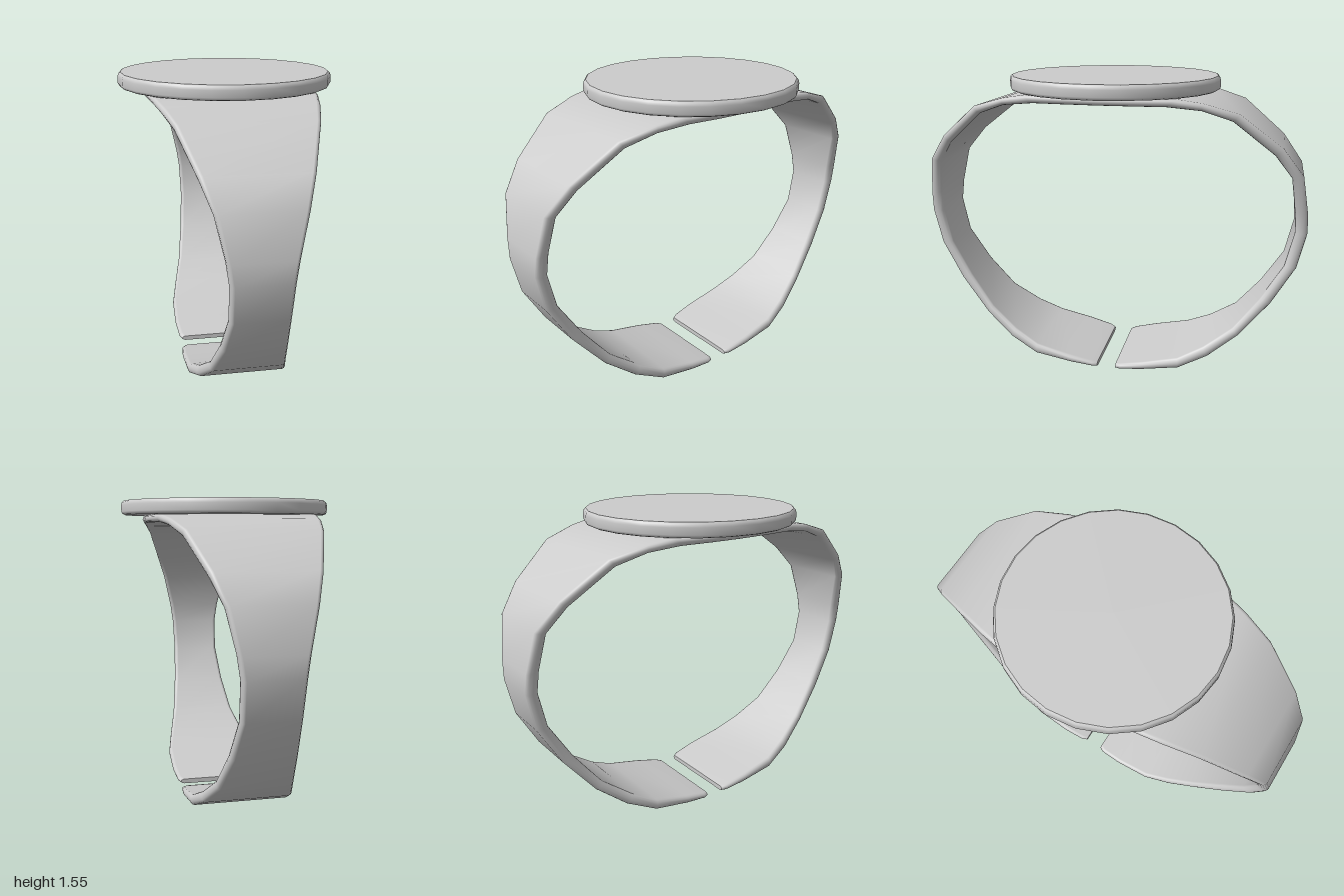
import * as THREE from 'three';

const material = new THREE.MeshStandardMaterial({ color: 0xcccccc });

// Half of the band, from the open tip to the crown:
// outer z, outer y, inner z, inner y, half width
const half = [
  [0.05, 0.0, 0.05, 0.025, 0.235],
  [0.075, 0.004, 0.08, 0.034, 0.25],
  [0.19, 0.02, 0.2, 0.062, 0.26],
  [0.39, 0.05, 0.385, 0.105, 0.255],
  [0.54, 0.12, 0.515, 0.17, 0.225],
  [0.69, 0.235, 0.66, 0.275, 0.185],
  [0.845, 0.42, 0.79, 0.44, 0.155],
  [0.96, 0.615, 0.9, 0.62, 0.137],
  [1.0, 0.8, 0.94, 0.8, 0.142],
  [0.995, 0.9, 0.932, 0.91, 0.157],
  [0.96, 1.1, 0.905, 1.09, 0.2],
  [0.86, 1.235, 0.82, 1.205, 0.248],
  [0.65, 1.405, 0.62, 1.37, 0.322],
  [0.48, 1.455, 0.48, 1.42, 0.365],
  [0.36, 1.475, 0.32, 1.437, 0.392],
  [0.18, 1.476, 0.16, 1.438, 0.41],
];
const crown = [0, 1.476, 0, 1.438, 0.415];
const mirrored = half.map(([zo, yo, zi, yi, w]) => [-zo, yo, -zi, yi, w]).reverse();
const stations = [...half, crown, ...mirrored];

// One rounded cross-section, running from the +x edge over the outside to the -x edge
function section([zo, yo, zi, yi, w]) {
  const points = [];
  const round = 0.02;
  for (const side of [1, -1]) {
    for (let k = 0; k <= 6; k++) {
      const a = (k / 6 - 0.5) * Math.PI;
      const u = 0.5 + 0.5 * side * Math.sin(a);
      points.push([
        side * (w - round + round * Math.cos(a)),
        THREE.MathUtils.lerp(yi, yo, u),
        THREE.MathUtils.lerp(zi, zo, u),
      ]);
    }
  }
  return points;
}

function bandGeometry() {
  const rings = stations.map(section);
  const n = rings[0].length;
  const last = rings.length - 1;
  const position = rings.flat(2);
  const index = [];
  for (let i = 0; i < last; i++) {
    for (let j = 0; j < n; j++) {
      const a = i * n + j;
      const b = i * n + ((j + 1) % n);
      index.push(a, a + n, b, b, a + n, b + n);
    }
  }
  // Flat caps on the two open tips
  for (const [ring, flip] of [[rings[0], false], [rings[last], true]]) {
    const base = position.length / 3;
    position.push(...ring.flat());
    for (let j = 1; j < n - 1; j++) {
      if (flip) index.push(base, base + j + 1, base + j);
      else index.push(base, base + j, base + j + 1);
    }
  }
  const geometry = new THREE.BufferGeometry();
  geometry.setAttribute('position', new THREE.Float32BufferAttribute(position, 3));
  geometry.setIndex(index);
  geometry.computeVertexNormals();
  return geometry;
}

// Round plate: separate flat faces and a softly rounded rim
function plate() {
  const group = new THREE.Group();
  group.name = 'topPlate';
  const bottom = 1.476, top = 1.547, sides = 24;
  const rim = [
    [0.518, bottom], [0.529, bottom + 0.005], [0.535, bottom + 0.016],
    [0.535, top - 0.022], [0.531, top - 0.008], [0.522, top],
  ].map(([x, y]) => new THREE.Vector2(x, y));
  const add = (name, geometry) => {
    const mesh = new THREE.Mesh(geometry, material);
    mesh.name = name;
    group.add(mesh);
    return mesh;
  };
  add('plateRim', new THREE.LatheGeometry(rim, sides));
  const face = add('plateFace', new THREE.CircleGeometry(0.522, sides));
  face.rotation.x = -Math.PI / 2;
  face.position.y = top;
  const underside = add('plateUnderside', new THREE.CircleGeometry(0.518, sides));
  underside.rotation.x = Math.PI / 2;
  underside.position.y = bottom;
  return group;
}

export function createModel() {
  const model = new THREE.Group();
  model.name = 'openRing';
  const band = new THREE.Mesh(bandGeometry(), material);
  band.name = 'band';
  model.add(band, plate());
  return model;
}
